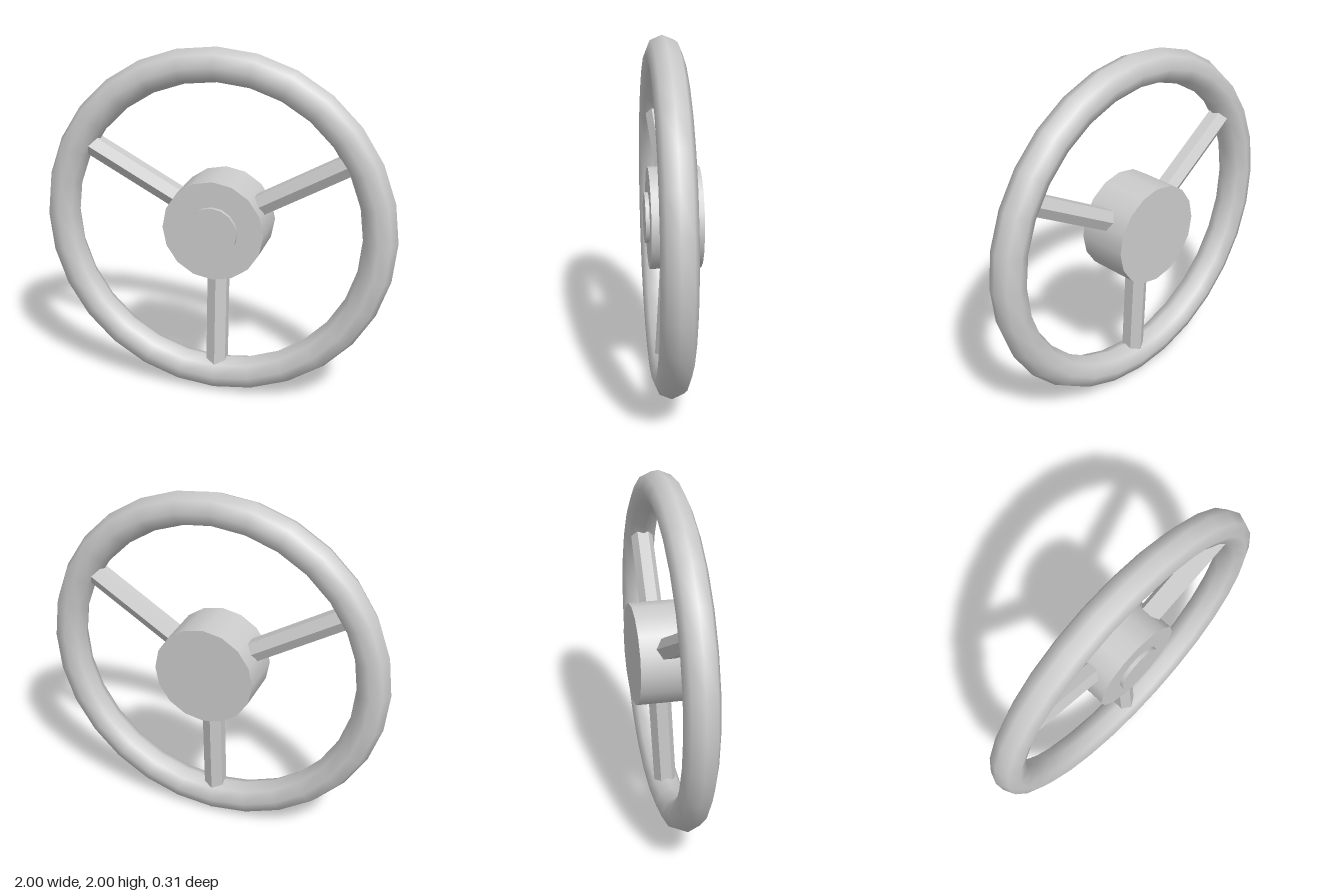
import * as THREE from 'three';

export function createModel() {
  const wheel = new THREE.Group();
  wheel.name = 'steeringWheel';
  const grey = new THREE.MeshStandardMaterial({ color: 0xcccccc });
  const greyFlat = new THREE.MeshStandardMaterial({ color: 0xcccccc, flatShading: true });

  const add = (name, geometry, material = grey) => {
    const mesh = new THREE.Mesh(geometry, material);
    mesh.name = name;
    mesh.position.y = 1;
    wheel.add(mesh);
    return mesh;
  };

  // Disc facing +z between two depths
  const disc = (radius, back, front) =>
    new THREE.CylinderGeometry(radius, radius, front - back, 16)
      .rotateX(Math.PI / 2)
      .translate(0, 0, (back + front) / 2);

  // Rim: octagonal tube in 28 segments, smoothly shaded
  add('rim', new THREE.TorusGeometry(0.905, 0.095, 8, 28).translate(0, 0, 0.035));

  // Hub and its raised front button
  add('hub', disc(0.285, -0.155, 0.13));
  add('hornButton', disc(0.142, 0.12, 0.152));

  // Three hexagonal spokes, rising slightly forward from hub to rim
  const inner = new THREE.Vector2(0.2, -0.004);
  const outer = new THREE.Vector2(0.88, 0.035);
  const tilt = Math.atan2(outer.y - inner.y, outer.x - inner.x);
  const spoke = new THREE.CylinderGeometry(0.064, 0.064, inner.distanceTo(outer), 6)
    .rotateX(tilt)
    .translate(0, (inner.x + outer.x) / 2, (inner.y + outer.y) / 2);
  ['leftSpoke', 'bottomSpoke', 'rightSpoke'].forEach((name, i) => {
    add(name, spoke, greyFlat).rotation.z = -Math.PI / 3 - (i * Math.PI * 2) / 3;
  });

  return wheel;
}
